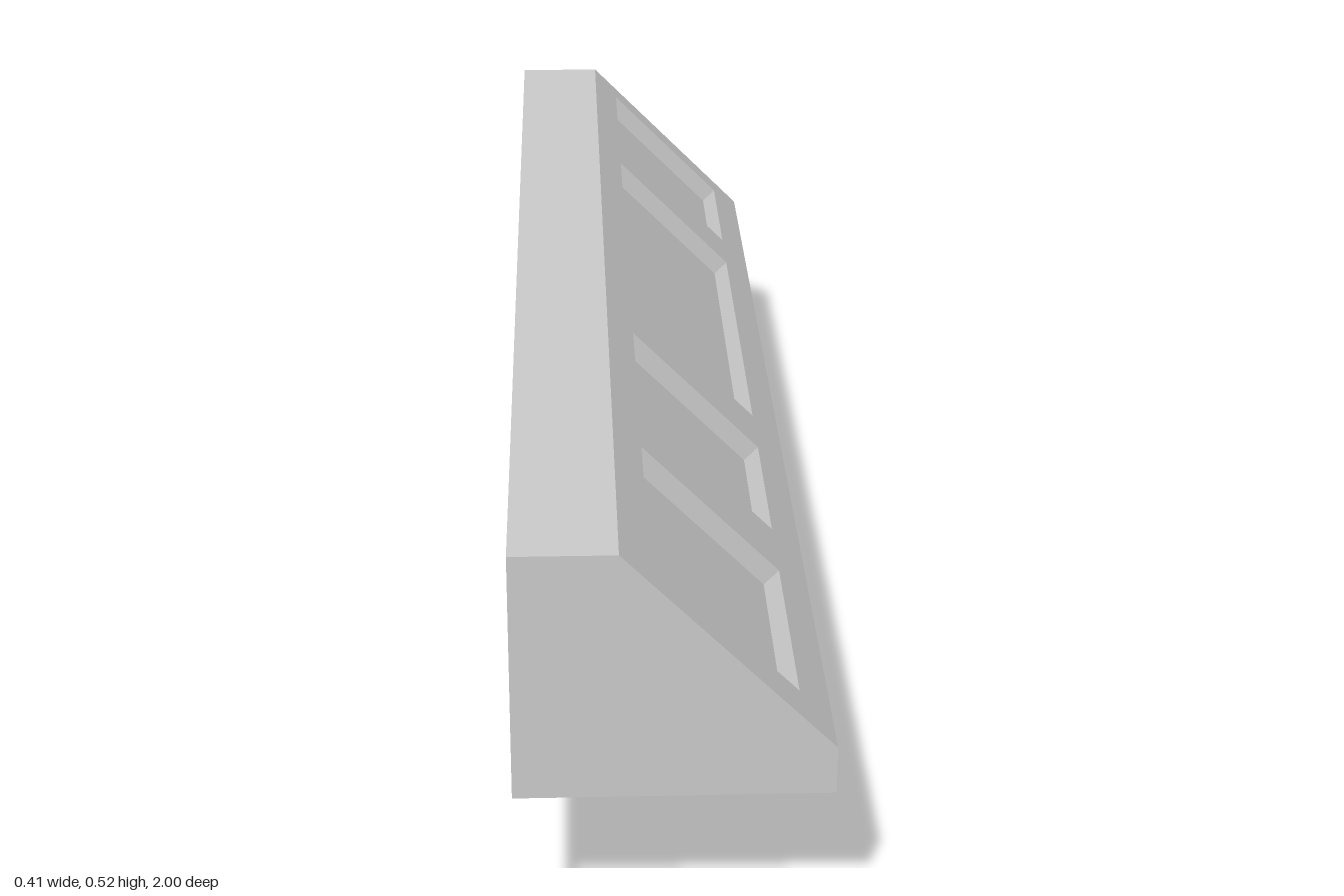
import * as THREE from 'three';

export function createModel() {
  const group = new THREE.Group();
  const material = new THREE.MeshStandardMaterial({ color: 0xcccccc, flatShading: true });
  const add = (name, geometry) => {
    const mesh = new THREE.Mesh(geometry, material);
    mesh.name = name;
    group.add(mesh);
    return mesh;
  };
  const box = (name, x0, x1, y0, y1, z0, z1) => {
    const g = new THREE.BoxGeometry(x1 - x0, y1 - y0, z1 - z0);
    g.translate((x0 + x1) / 2, (y0 + y1) / 2, (z0 + z1) / 2);
    return add(name, g);
  };
  const rect = (path, u0, u1, v0, v1) => {
    path.moveTo(u0, v0);
    path.lineTo(u1, v0);
    path.lineTo(u1, v1);
    path.lineTo(u0, v1);
    path.closePath();
    return path;
  };

  const back = -0.205, face = 0.182, top = 0.517;
  const slopeLow = 0.259, run = top - slopeLow; // 45 degree slope
  const step = 0.197, inset = 0.02;             // recess depth in x and in y

  // Upper body: constant section, with a seat cut into the slope for the panel
  const section = new THREE.Shape([
    [back, step], [face, step], [face, slopeLow],
    [face - inset, slopeLow - inset], [face - run - inset, top - inset],
    [face - run, top], [back, top],
  ].map(([x, y]) => new THREE.Vector2(x, y)));
  const upper = new THREE.ExtrudeGeometry(section, { depth: 2, bevelEnabled: false });
  upper.translate(0, 0, -1);
  add('upperBody', upper);

  // Lower body stops short of the front, leaving an overhang
  box('lowerBody', back, face, 0, step, -1, 0.55);

  // Sloped panel with rectangular windows, drawn flat and then tilted into its seat
  const panel = rect(new THREE.Shape(), -1, 1, 0, run * Math.SQRT2);
  const windows = [[0.935, 0.615], [0.491, 0.219], [0.104, -0.558], [-0.671, -0.945]];
  const v0 = (0.30 - slopeLow) * Math.SQRT2, v1 = (0.48 - slopeLow) * Math.SQRT2;
  for (const [zFront, zRear] of windows) {
    panel.holes.push(rect(new THREE.Path(), -zFront, -zRear, v0, v1));
  }
  const plate = new THREE.ExtrudeGeometry(panel, { depth: inset * Math.SQRT2, bevelEnabled: false });
  const h = Math.SQRT1_2;
  plate.applyMatrix4(new THREE.Matrix4().makeBasis(
    new THREE.Vector3(0, 0, -1),
    new THREE.Vector3(-h, h, 0),
    new THREE.Vector3(h, h, 0),
  ).setPosition(face - inset, slopeLow - inset, 0));
  add('windowPanel', plate);

  // Row of bar handles along the lower body
  const handles = [[0.22, 0.491], [-0.168, 0.104], [-0.558, -0.283], [-0.943, -0.671]];
  handles.forEach(([z0, z1], i) => box(`handle${i + 1}`, face, 0.205, 0.082, 0.115, z0, z1));

  return group;
}
